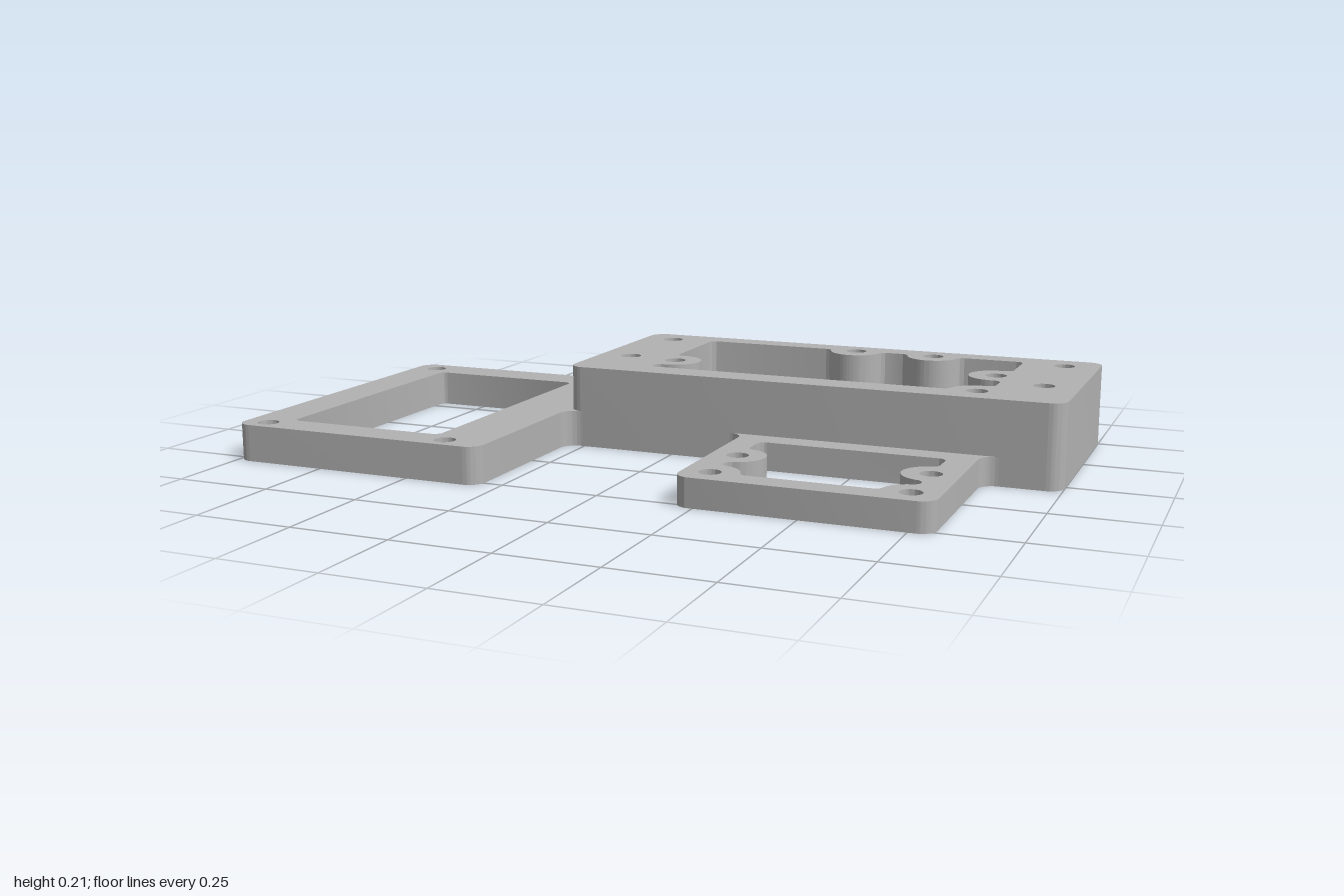
import * as THREE from 'three';
import { toCreasedNormals } from 'three/addons/utils/BufferGeometryUtils.js';

const PI = Math.PI;
const BOSS = 0.07, FILLET = 0.02, SCREW = 0.027, ROUND = 0.04;

// Block footprint in plan (x, z)
const X0 = -0.295, X1 = 1, Z0 = -0.533, Z1 = 0.053;

// Rounded corner i of a rectangle, travelling anticlockwise in (x, z)
function corner(path, [x0, z0, x1, z1], i, r) {
  const x = i < 2 ? x1 - r : x0 + r;
  const z = i === 1 || i === 2 ? z1 - r : z0 + r;
  path.absarc(x, z, r, (i - 1) * PI / 2, i * PI / 2, false);
}

// Screw boss bulging into an opening, blended to its walls with small fillets
function boss(path, rect, [x, z, wallIn, wallOut]) {
  const walls = [z - rect[1], rect[2] - x, rect[3] - z, x - rect[0]];
  const blend = (wall, side) => {
    const a = wall * PI / 2, u = [Math.cos(a), Math.sin(a)], n = [-u[1], u[0]];
    const h = FILLET - walls[wall];
    const l = Math.sqrt((BOSS + FILLET) ** 2 - Math.max(h, 0) ** 2);
    const c = [0, 1].map(k => side * u[k] * l + n[k] * h);
    const toFillet = h > 0 ? Math.atan2(c[1], c[0]) : Math.atan2(side * u[1], side * u[0]);
    return { x: x + c[0], z: z + c[1], toFillet, toWall: a - PI / 2 };
  };
  const p = blend(wallIn, -1), q = blend(wallOut, 1);
  path.absarc(p.x, p.z, FILLET, p.toWall, p.toFillet + PI, false);
  path.absarc(x, z, BOSS, p.toFillet, q.toFillet, true);
  path.absarc(q.x, q.z, FILLET, q.toFillet + PI, q.toWall, false);
}

// Opening described in order: a number is a plain corner, an array is a boss
function opening(rect, steps) {
  const path = new THREE.Path();
  for (const s of steps) {
    if (Array.isArray(s)) boss(path, rect, s);
    else corner(path, rect, s, FILLET);
  }
  path.closePath();
  return path;
}

function drill(shape, points) {
  for (const [x, z] of points) {
    const hole = new THREE.Path();
    hole.absarc(x, z, SCREW, 0, 2 * PI, true);
    shape.holes.push(hole);
  }
}

// Extrude a plan shape upward from the ground
function slab(name, shape, height, material) {
  let geo = new THREE.ExtrudeGeometry(shape, { depth: height, bevelEnabled: false, curveSegments: 20 });
  geo.rotateX(PI / 2).translate(0, height, 0);
  geo = toCreasedNormals(geo, 0.6);
  const mesh = new THREE.Mesh(geo, material);
  mesh.name = name;
  return mesh;
}

export function createModel() {
  const group = new THREE.Group();
  group.name = 'mountingFrame';
  const grey = new THREE.MeshStandardMaterial({ color: 0xb2b2b2 });
  grey.name = 'plain grey';

  // Tall block with a bossed opening
  const block = new THREE.Shape();
  for (let i = 0; i < 4; i++) corner(block, [X0, Z0, X1, Z1], i, ROUND);
  block.closePath();
  const blockBosses = [
    [0.338, -0.465, 0, 0], [0.555, -0.465, 0, 0], [0.772, -0.249, 1, 1],
    [0.772, -0.03, 1, 2], [-0.069, -0.139, 3, 3],
  ];
  const [b0, b1, b2, b3, b4] = blockBosses;
  block.holes.push(opening([-0.094, -0.468, 0.8, -0.03], [b0, b1, 0, b2, b3, 2, b4, 3]));
  drill(block, blockBosses);
  for (const x of [-0.208, 0.91]) drill(block, [[x, -0.452], [x, -0.158]]);
  group.add(slab('tallBlock', block, 0.212, grey));

  // Low side plate, filleted into the end of the block
  const sideRect = [-1, -0.395, -0.3, 0.533];
  const side = new THREE.Shape();
  side.moveTo(X0, sideRect[1] - ROUND);
  side.lineTo(X0, Z1 - ROUND);
  side.absarc(X0 + ROUND, Z1 - ROUND, ROUND, PI, PI / 2, true);
  side.absarc(sideRect[2] + ROUND, Z1 + ROUND, ROUND, -PI / 2, PI, true);
  for (const i of [1, 2, 3]) corner(side, sideRect, i, ROUND);
  side.absarc(X0 - ROUND, sideRect[1] - ROUND, ROUND, PI / 2, 0, true);
  side.closePath();
  side.holes.push(opening([-0.888, -0.292, -0.459, 0.441], [0, 1, 2, 3]));
  for (const x of [-0.933, -0.414]) drill(side, [[x, -0.337], [x, 0.486]]);
  group.add(slab('sidePlate', side, 0.094, grey));

  // Small front plate, filleted into the face of the block
  const frontRect = [0.2, Z1, 0.808, 0.521];
  const front = new THREE.Shape();
  front.moveTo(frontRect[0] - ROUND, Z1);
  front.lineTo(frontRect[2] + ROUND, Z1);
  front.absarc(frontRect[2] + ROUND, Z1 + ROUND, ROUND, -PI / 2, PI, true);
  for (const i of [1, 2]) corner(front, frontRect, i, ROUND);
  front.absarc(frontRect[0] - ROUND, Z1 + ROUND, ROUND, 0, -PI / 2, true);
  front.closePath();
  const frontBosses = [
    [0.739, 0.274, 1, 1], [0.739, 0.453, 1, 2], [0.267, 0.453, 2, 3], [0.267, 0.274, 3, 3],
  ];
  front.holes.push(opening([0.267, 0.12, 0.739, 0.453], [0, ...frontBosses, 3]));
  drill(front, frontBosses);
  group.add(slab('frontPlate', front, 0.072, grey));

  return group;
}
